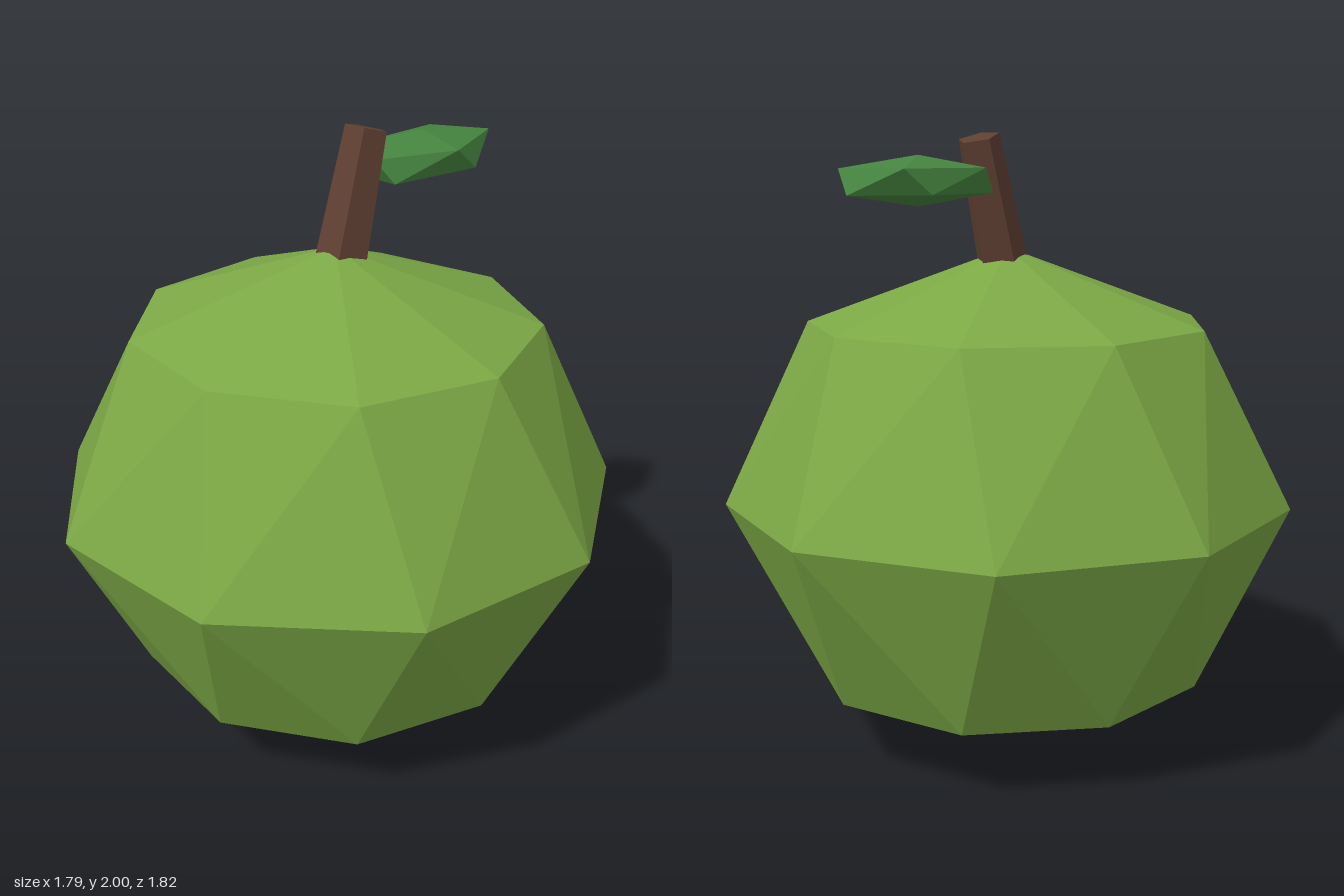
import * as THREE from 'three';
import { ConvexGeometry } from 'three/addons/geometries/ConvexGeometry.js';

function material(name, color) {
  const m = new THREE.MeshStandardMaterial({ color });
  m.name = name;
  return m;
}

// Faceted ellipsoid: two poles plus rings, each ring turned by its own twist (degrees)
function facetedBlob(rx, ry, rz, sides, twists) {
  const points = [new THREE.Vector3(0, ry, 0), new THREE.Vector3(0, -ry, 0)];
  twists.forEach((twist, row) => {
    const polar = (Math.PI * (row + 1)) / (twists.length + 1);
    for (let i = 0; i < sides; i++) {
      const a = (Math.PI * 2 * i) / sides + THREE.MathUtils.degToRad(twist);
      points.push(new THREE.Vector3(
        rx * Math.sin(polar) * Math.cos(a),
        ry * Math.cos(polar),
        rz * Math.sin(polar) * Math.sin(a)));
    }
  });
  return new ConvexGeometry(points);
}

export function createModel() {
  const group = new THREE.Group();
  group.name = 'fruit';
  const add = (name, geometry, mat, x, y, z) => {
    const mesh = new THREE.Mesh(geometry, mat);
    mesh.name = name;
    mesh.position.set(x, y, z);
    group.add(mesh);
    return mesh;
  };

  // Round nine-sided fruit
  add('fruitBody', facetedBlob(0.925, 0.82, 0.925, 9, [10, 0, 10]),
    material('fruitGreen', 0x7ca845), -0.03, 0.82, 0);

  // Five-sided leaning stem, one corner towards +x
  const stemGeometry = new THREE.CylinderGeometry(0.068, 0.085, 0.42, 5, 1, false, Math.PI / 2)
    .toNonIndexed();
  stemGeometry.computeVertexNormals();
  const stem = add('stem', stemGeometry, material('stemBrown', 0x5f4032), 0.051, 1.783, 0);
  stem.rotation.z = -0.27;

  // Thick faceted leaf beside the stem
  add('leaf', facetedBlob(0.33, 0.076, 0.18, 5, [20, 0]),
    material('leafGreen', 0x468540), 0.37, 1.857, 0);

  return group;
}
